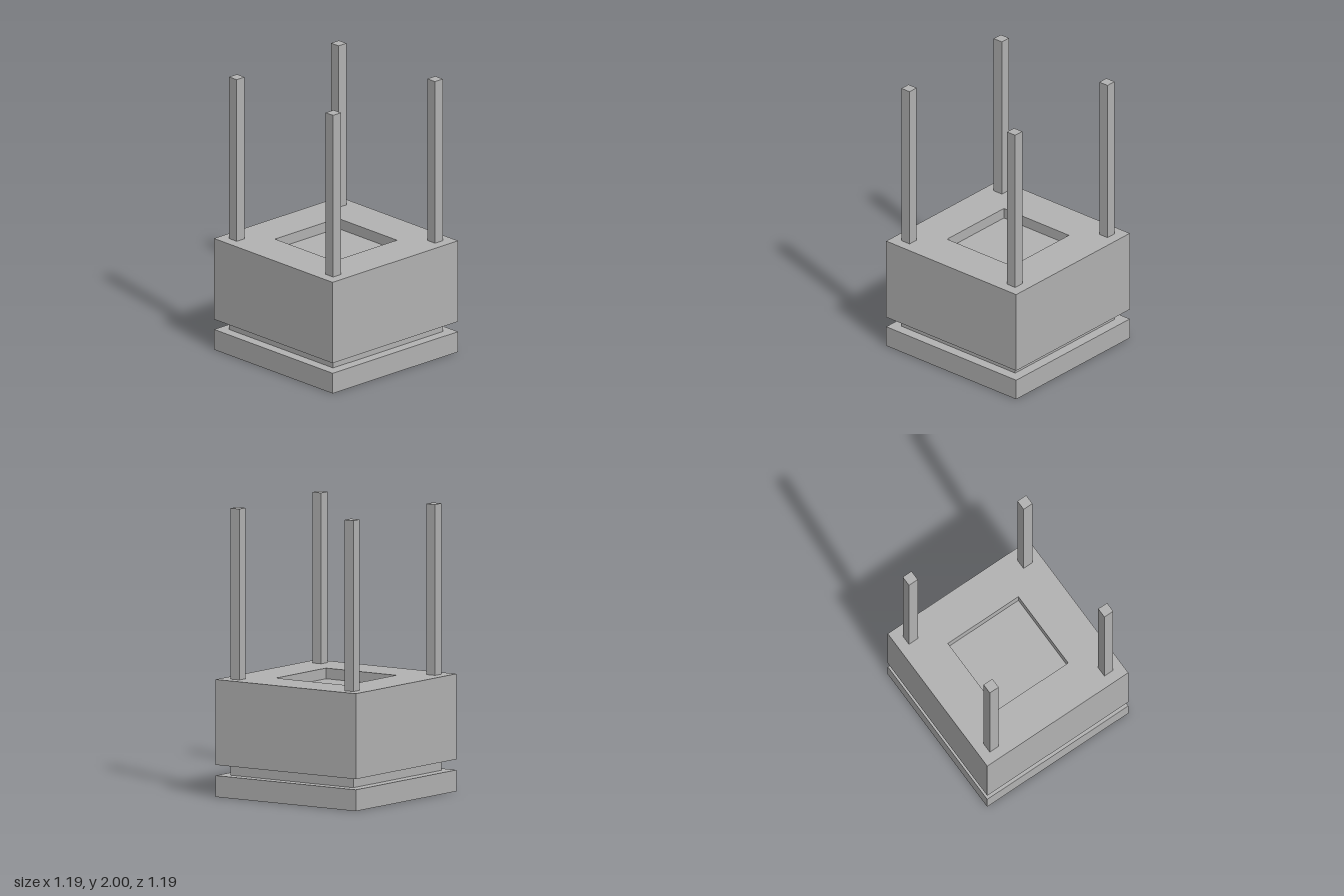
import * as THREE from 'three';

export function createModel() {
  const u = 2 / 27; // grid unit: the model is 27 units tall
  const group = new THREE.Group();
  const grey = new THREE.MeshStandardMaterial({ color: 0xb2b2b2 });
  grey.name = 'grey';

  const add = (name, geometry, x = 0, y = 0, z = 0) => {
    const mesh = new THREE.Mesh(geometry, grey);
    mesh.name = name;
    mesh.position.set(x, y, z);
    group.add(mesh);
    return mesh;
  };

  // square box given by width, bottom and top in grid units
  const box = (name, width, y0, y1, x = 0, z = 0) =>
    add(name, new THREE.BoxGeometry(width * u, (y1 - y0) * u, width * u),
      x * u, ((y0 + y1) / 2) * u, z * u);

  const square = (path, half) => {
    const h = half * u;
    path.moveTo(-h, -h);
    path.lineTo(h, -h);
    path.lineTo(h, h);
    path.lineTo(-h, h);
    path.closePath();
    return path;
  };

  // base slab and the narrower neck above it
  box('baseSlab', 16, 0, 2);
  box('neck', 14, 2, 3);

  // main block with a square opening
  const outline = square(new THREE.Shape(), 8);
  outline.holes.push(square(new THREE.Path(), 4));
  const block = new THREE.ExtrudeGeometry(outline, { depth: 8 * u, bevelEnabled: false });
  block.rotateX(-Math.PI / 2);
  add('mainBlock', block, 0, 3 * u, 0);

  // core that fills the opening up to the shallow recess floor
  box('recessFloor', 8, 3, 10);

  // four corner posts
  for (const [sx, side] of [[1, 'left'], [-1, 'right']]) {
    for (const [sz, end] of [[1, 'Front'], [-1, 'Back']]) {
      box(`${side}${end}Post`, 1, 11, 27, sx * 6.5, sz * 6.5);
    }
  }

  return group;
}
